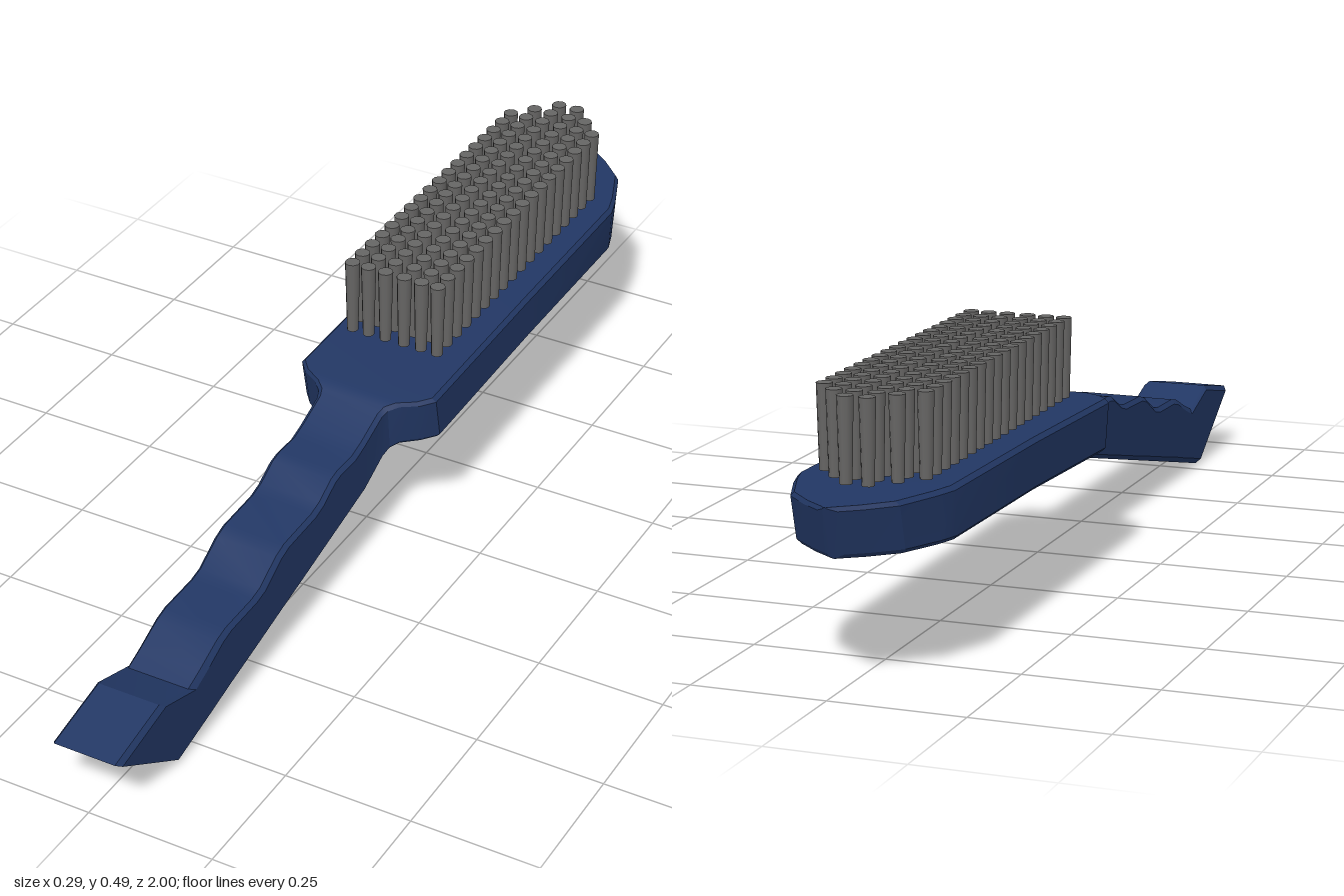
import * as THREE from 'three';
import { toCreasedNormals } from 'three/addons/utils/BufferGeometryUtils.js';

// Chamfered box-like section; top and bottom may sit at different z (slanted cut)
function section([zt, yt, zb, yb, w], cx) {
  const c = Math.min(0.008, w * 0.5);
  const corners = [[w - c, yb], [w, yb + c], [w, yt - c], [w - c, yt]];
  const ring = [...corners, ...corners.slice().reverse().map(([x, y]) => [-x, y])];
  return ring.map(([x, y]) => [cx + x, y, zb + (zt - zb) * (y - yb) / (yt - yb)]);
}

// Skin the sections from front (+z) to back, with flat end caps
function loft(stations, cx) {
  const pos = [], idx = [], n = 8, last = (stations.length - 1) * n;
  stations.forEach(s => section(s, cx).forEach(p => pos.push(...p)));
  for (let i = 0; i < last; i += n) {
    for (let j = 0; j < n; j++) {
      const k = (j + 1) % n;
      idx.push(i + j, i + n + j, i + n + k, i + j, i + n + k, i + k);
    }
  }
  for (let j = 1; j < n - 1; j++) idx.push(0, j, j + 1, last, last + j + 1, last + j);
  const g = new THREE.BufferGeometry();
  g.setAttribute('position', new THREE.Float32BufferAttribute(pos, 3));
  g.setIndex(idx);
  return toCreasedNormals(g, 0.4);
}

export function createModel() {
  const model = new THREE.Group();
  const navy = new THREE.MeshStandardMaterial({ color: 0x223764 });
  navy.name = 'navy plastic';
  const grey = new THREE.MeshStandardMaterial({ color: 0x666564 });
  grey.name = 'grey bristle';

  // Handle: wavy finger grip on top [z, y], straight underside
  const grip = [
    [1, 0.13], [0.855, 0.16], [0.76, 0.128], [0.72, 0.143], [0.66, 0.169], [0.63, 0.176],
    [0.54, 0.178], [0.51, 0.184], [0.45, 0.217], [0.42, 0.226], [0.32, 0.23], [0.29, 0.238],
    [0.245, 0.262], [0.22, 0.267], [0.165, 0.266], [0.13, 0.276]];
  const stations = grip.map(([z, y]) => {
    const zb = 0.13 + (z - 0.13) * 0.67 / 0.87;
    return [z, y, zb, 0.163 * (0.8 - zb) / 0.67, 0.07];
  });

  // Neck and head: [zTop, yTop, zBottom, yBottom, halfWidth]
  stations.push(
    [0.065, 0.302, 0.06, 0.196, 0.07],
    [0.05, 0.309, 0.04, 0.206, 0.075],
    [0.035, 0.315, 0.02, 0.215, 0.092],
    [0.015, 0.316, -0.005, 0.217, 0.125],
    [-0.01, 0.317, -0.03, 0.218, 0.146],
    [-0.4, 0.327, -0.4, 0.231, 0.146],
    [-0.79, 0.33, -0.78, 0.234, 0.145],
    [-0.835, 0.33, -0.82, 0.234, 0.132],
    [-0.92, 0.33, -0.895, 0.235, 0.099],
    [-0.965, 0.33, -0.935, 0.235, 0.054],
    [-0.992, 0.33, -0.96, 0.235, 0.018],
    [-1, 0.33, -0.966, 0.235, 0.004]);
  const body = new THREE.Mesh(loft(stations, -0.002), navy);
  body.name = 'handleAndHead';
  model.add(body);

  // Bristles: six columns, narrowing toward the tip of the head
  const bristles = new THREE.Group();
  bristles.name = 'bristles';
  const bristleGeo = new THREE.CylinderGeometry(0.0148, 0.0112, 0.152, 10);
  const columns = [-0.0965, -0.0615, -0.0245, 0.016, 0.053, 0.088];
  for (let row = 0; row < 20; row++) {
    const skip = Math.max(0, row - 17);
    for (const x of columns.slice(skip, 6 - skip)) {
      const b = new THREE.Mesh(bristleGeo, grey);
      b.name = 'bristle';
      b.position.set(x, 0.415, -0.12 - row * 0.0396);
      bristles.add(b);
    }
  }
  model.add(bristles);
  return model;
}
